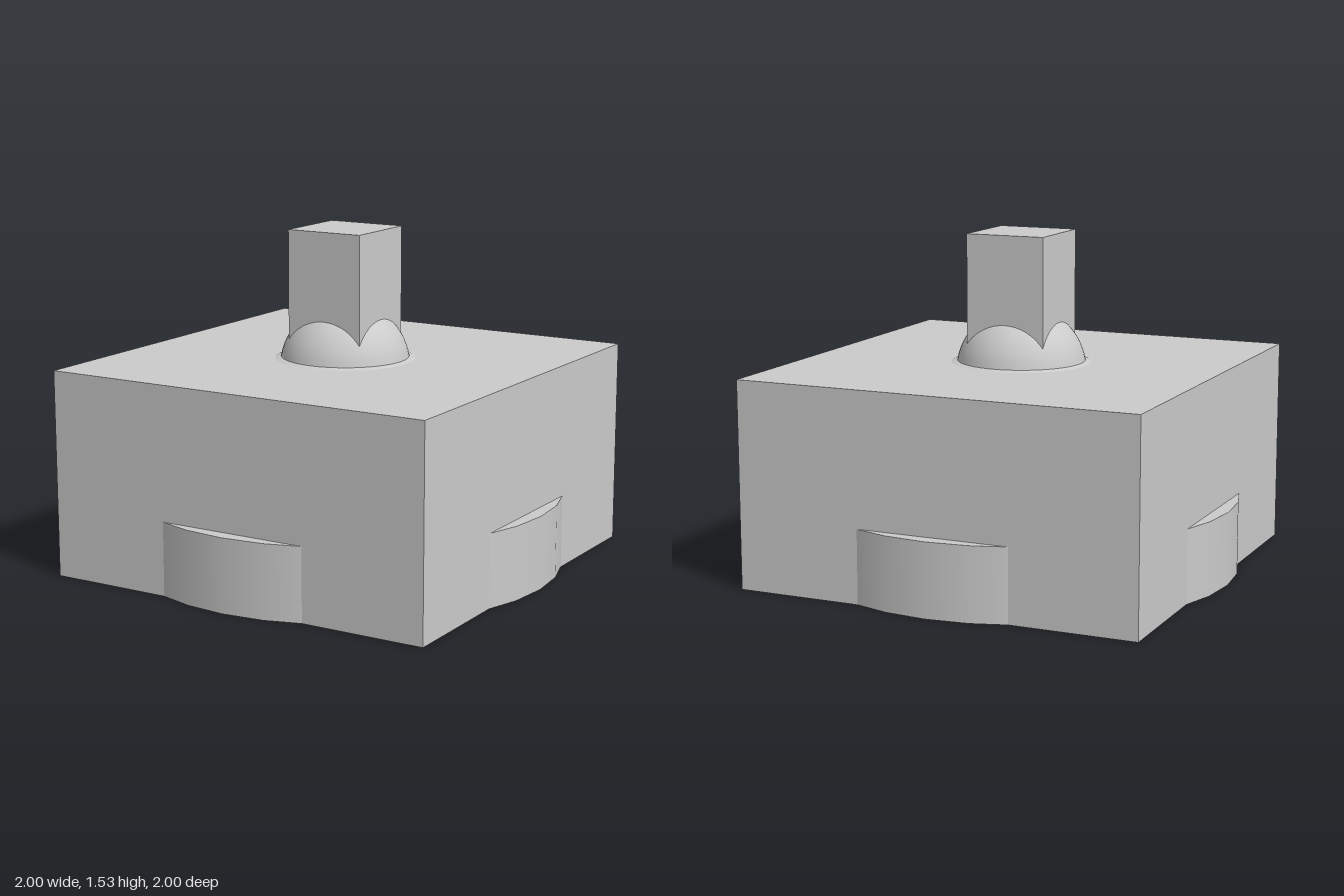
import * as THREE from 'three';

export function createModel() {
  const group = new THREE.Group();
  const material = new THREE.MeshStandardMaterial({ color: 0xcccccc });
  const add = (name, geometry, y = 0) => {
    const mesh = new THREE.Mesh(geometry, material);
    mesh.name = name;
    mesh.position.y = y;
    group.add(mesh);
  };
  const lathe = (points) =>
    new THREE.LatheGeometry(points.map(([r, y]) => new THREE.Vector2(r, y)), 48);

  // Square block with a round base disc bulging through its four sides
  add('body', new THREE.BoxGeometry(1.865, 0.94, 1.865), 0.47);
  add('baseDisc', new THREE.CylinderGeometry(1, 1, 0.335, 32), 0.1675);

  // Dome: upper part of a sphere whose centre lies just inside the block
  const R = 0.296, centreY = 0.897, dome = [];
  const start = Math.asin((0.948 - centreY) / R);
  for (let i = 0; i <= 16; i++) {
    const a = start + (Math.PI / 2 - start) * (i / 16);
    dome.push([R * Math.cos(a), centreY + R * Math.sin(a)]);
  }
  add('dome', lathe(dome));

  // Thin sloping lip where the dome meets the block
  add('domeLip', lathe([[0.32, 0.939], [0.305, 0.945], [dome[0][0], dome[0][1]]]));

  // Square post rising out of the dome
  add('post', new THREE.BoxGeometry(0.37, 0.59, 0.37), 1.235);

  return group;
}
